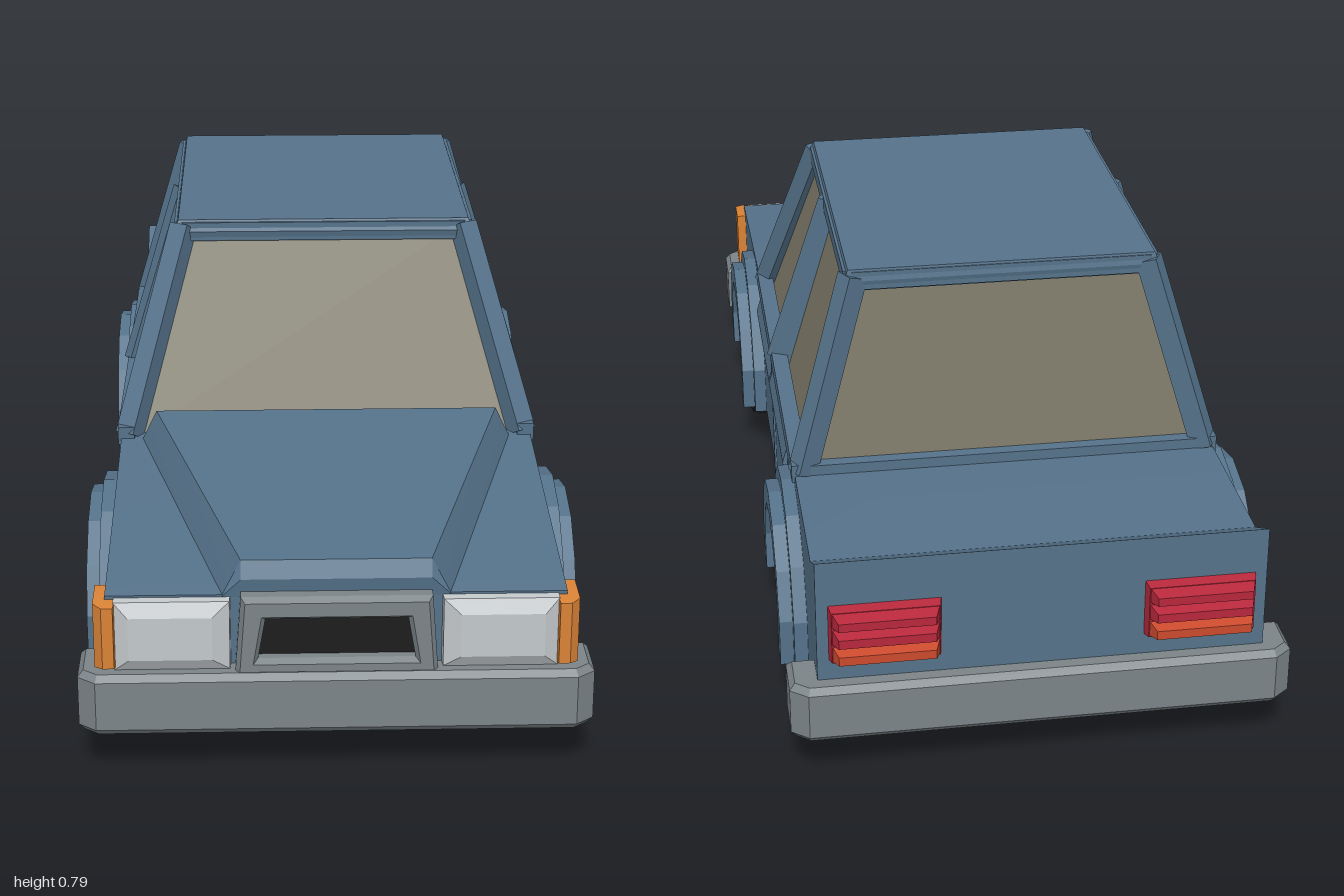
import * as THREE from 'three';
import { toCreasedNormals } from 'three/addons/utils/BufferGeometryUtils.js';
import { ConvexGeometry } from 'three/addons/geometries/ConvexGeometry.js';

const mat = (name, color) => Object.assign(new THREE.MeshStandardMaterial({ color }), { name });
const V = (x, y, z) => new THREE.Vector3(x, y, z);

export function createModel() {
  const car = new THREE.Group();
  car.name = 'car';
  const paint = mat('blue paint', 0x55728a);
  const glass = mat('smoky glass', 0x7d7968);
  const tyreMat = mat('tyre black', 0x262626);
  const dark = mat('underside black', 0x1d1d1d);
  const metal = mat('bumper grey', 0x7b8488);
  const hubMat = mat('hub grey', 0x85949a);
  const lampMat = mat('headlight silver', 0xc3c8cb);
  const amber = mat('amber', 0xd98236);
  const red = mat('tail red', 0xb8283c);
  const orange = mat('tail orange', 0xcc4a2e);

  const add = (name, geo, material, parent = car) => {
    const m = new THREE.Mesh(toCreasedNormals(geo, 0.3), material);
    m.name = name;
    parent.add(m);
    return m;
  };
  // Box given by its minimum and maximum on each axis
  const box = (name, material, x0, x1, y0, y1, z0, z1) => {
    const g = new THREE.BoxGeometry(x1 - x0, y1 - y0, z1 - z0);
    return add(name, g.translate((x0 + x1) / 2, (y0 + y1) / 2, (z0 + z1) / 2), material);
  };
  // Convex solid mirrored across x from its +x corners
  const solid = (name, material, pts) =>
    add(name, new ConvexGeometry(pts.flatMap(([x, y, z]) => [V(x, y, z), V(-x, y, z)])), material);
  // Square bar between two points
  const beam = (name, a, b, w, d = w, material = paint) => {
    const m = add(name, new THREE.BoxGeometry(w, d, a.distanceTo(b)), material);
    m.position.copy(a).lerp(b, 0.5);
    m.lookAt(b);
    return m;
  };
  // Side profile (z, y) extruded across x from x0 to x1
  const across = (shape, x0, x1) => new THREE.ExtrudeGeometry(shape, { depth: x1 - x0, bevelEnabled: false, curveSegments: 10 })
    .rotateY(-Math.PI / 2).translate(x1, 0, 0);

  const AX = 0.53, AY = 0.15;
  const arc = (r, z, from, to, n = 9) => Array.from({ length: n + 1 }, (_, i) => {
    const t = from + (to - from) * i / n;
    return new THREE.Vector2(z + r * Math.cos(t), AY + r * Math.sin(t));
  });
  const P = (z, y) => new THREE.Vector2(z, y);

  // Body shell with wheel cut-outs
  const dip = r => -Math.asin(0.05 / r);
  const cut = z => arc(0.18, z, Math.PI - dip(0.18), dip(0.18));
  add('body', across(new THREE.Shape([
    P(-0.75, 0.1), ...cut(-AX), ...cut(AX), P(0.95, 0.1), P(0.955, 0.34), P(0.37, 0.4),
    P(-0.87, 0.4), P(-0.955, 0.445), P(-0.955, 0.2), P(-0.86, 0.19),
  ]), -0.4, 0.4), paint);
  // Raised bonnet
  solid('bonnet', paint, [
    [0.165, 0.4, 0.945], [0.33, 0.457, 0.37], [0.36, 0.395, 0.37],
    [0.2, 0.335, 0.955], [0.165, 0.37, 0.96],
  ]);

  // Underside
  box('wheelWellCore', dark, -0.3, 0.3, 0.095, 0.335, -0.72, 0.72);
  box('floor', dark, -0.38, 0.38, 0.094, 0.12, -0.32, 0.32);
  box('frontFloor', dark, -0.38, 0.38, 0.094, 0.12, 0.73, 0.94);
  box('chassisUpper', dark, -0.23, 0.23, 0.07, 0.1, -0.73, 0.75);
  box('chassisLower', dark, -0.215, 0.215, 0.06, 0.08, -0.7, 0.72);

  // Wheel arches and wheels
  const tyreProfile = [[0, -0.062], [0.125, -0.062], [0.146, -0.05], [0.15, -0.03],
    [0.15, 0.03], [0.146, 0.05], [0.125, 0.062], [0.085, 0.062], [0.08, 0.052], [0, 0.052]];
  const hubProfile = [[0.08, 0.05], [0.08, 0.064], [0.068, 0.064], [0.062, 0.056], [0, 0.06]];
  const lathe = (pts, n) => new THREE.LatheGeometry(pts.map(p => new THREE.Vector2(...p)), n).rotateZ(-Math.PI / 2);
  for (const s of [1, -1]) for (const z of [AX, -AX]) {
    const label = (z > 0 ? 'front' : 'rear') + (s > 0 ? 'Left' : 'Right');
    const band = (ri, ro) => new THREE.Shape([
      ...arc(ro, z, dip(ro), Math.PI - dip(ro), 8), ...arc(ri, z, Math.PI - dip(ri), dip(ri), 8)]);
    const steps = [[0.16, 0.205, 0.45], [0.19, 0.23, 0.425]];
    for (const [ri, ro, x] of steps)
      add(label + 'Arch', across(band(ri, ro), s > 0 ? 0.36 : -x, s > 0 ? x : -0.36), paint);
    const wheel = new THREE.Group();
    wheel.name = label + 'Wheel';
    wheel.position.set(s * 0.372, AY, z);
    if (s < 0) wheel.rotation.y = Math.PI;
    add('tyre', lathe(tyreProfile, 12), tyreMat, wheel);
    add('hub', lathe(hubProfile, 12), hubMat, wheel);
    car.add(wheel);
  }

  // Cabin glass and roof
  solid('cabinGlass', glass, [
    [0.375, 0.39, 0.345], [0.375, 0.39, -0.54], [0.27, 0.77, 0.165], [0.27, 0.77, -0.485],
  ]);
  solid('roof', paint, [
    [0.287, 0.787, 0.18], [0.287, 0.787, -0.5], [0.295, 0.765, 0.19], [0.295, 0.765, -0.505],
    [0.26, 0.745, 0.185], [0.26, 0.745, -0.5],
  ]);
  for (const s of [1, -1]) {
    const c = (x, y, z) => V(s * x, y, z);
    beam('windscreenPillar', c(0.385, 0.4, 0.35), c(0.277, 0.772, 0.172), 0.04);
    beam('middlePillar', c(0.385, 0.41, -0.06), c(0.275, 0.77, -0.115), 0.03, 0.055);
    beam('rearPillar', c(0.385, 0.4, -0.545), c(0.277, 0.772, -0.49), 0.04);
    beam('roofRail', c(0.28, 0.765, 0.17), c(0.28, 0.765, -0.49), 0.03);
    beam('windowSill', c(0.39, 0.405, 0.37), c(0.39, 0.405, -0.56), 0.032, 0.035);
    // Door crease and seam
    const add2 = (name, pts) => add(name, new ConvexGeometry(pts.map(p => c(...p))), paint);
    for (const [z0, z1] of [[0.36, 0.005], [-0.005, -0.36]])
      add2('doorPanel', [z0, z1].flatMap(z => [[0.395, 0.375, z], [0.41, 0.325, z], [0.408, 0.305, z], [0.395, 0.295, z]]));
    add2('doorSeam', [0.006, -0.006].flatMap(z => [[0.395, 0.1, z], [0.404, 0.1, z], [0.395, 0.4, z], [0.404, 0.4, z]]));
  }
  beam('windscreenHeader', V(-0.28, 0.765, 0.172), V(0.28, 0.765, 0.172), 0.03, 0.035);
  beam('rearHeader', V(-0.28, 0.765, -0.488), V(0.28, 0.765, -0.488), 0.03, 0.035);
  beam('rearWindowSill', V(-0.385, 0.405, -0.545), V(0.385, 0.405, -0.545), 0.03, 0.03);

  // Wrap-around bumpers
  const bumper = (name, front, y0, y1) => {
    const e = 0.44, i = 0.4, back = 0.89;
    const plan = new THREE.Shape([P(-e, back), P(-i, back), P(-i, 0.945), P(i, 0.945), P(i, back), P(e, back),
      P(e, front - 0.03), P(e - 0.025, front - 0.01), P(0.025 - e, front - 0.01), P(-e, front - 0.03)]);
    const g = new THREE.ExtrudeGeometry(plan, {
      depth: y1 - y0 - 0.024, bevelThickness: 0.012, bevelSize: 0.01, bevelSegments: 1,
    });
    return add(name, g.rotateX(Math.PI / 2).translate(0, y1 - 0.012, 0), metal);
  };
  bumper('frontBumper', 1, 0.092, 0.207);
  bumper('rearBumper', 0.988, 0.1, 0.21).rotation.y = Math.PI;

  // Grille surround with a dark recess
  const trapezoid = (top, bottom, y0, y1) => [P(-bottom, y0), P(bottom, y0), P(top, y1), P(-top, y1)];
  const surround = new THREE.Shape(trapezoid(0.158, 0.168, 0.208, 0.338));
  surround.holes.push(new THREE.Path(trapezoid(0.13, 0.145, 0.222, 0.312).reverse()));
  add('grilleSurround', new THREE.ExtrudeGeometry(surround, {
    depth: 0.03, bevelThickness: 0.012, bevelSize: 0.008, bevelSegments: 1,
  }).translate(0, 0, 0.948), metal);
  add('grille', new THREE.ShapeGeometry(new THREE.Shape(trapezoid(0.14, 0.155, 0.212, 0.32))).translate(0, 0, 0.962), dark);

  // Lamps
  const frame = (x0, x1, y0, y1, z) => [[x0, y0, z], [x1, y0, z], [x1, y1, z], [x0, y1, z]];
  for (const s of [1, -1]) {
    const lens = (name, material, ...rings) =>
      add(name, new ConvexGeometry(rings.flat().map(([x, y, z]) => V(s * x, y, z))), material);
    lens('headlight', lampMat, frame(0.183, 0.385, 0.205, 0.337, 0.94),
      frame(0.185, 0.385, 0.207, 0.335, 0.972), frame(0.215, 0.36, 0.23, 0.31, 0.985));
    lens('indicator', amber, frame(0.383, 0.42, 0.21, 0.335, 0.9),
      frame(0.383, 0.42, 0.212, 0.333, 0.97), frame(0.385, 0.405, 0.215, 0.33, 0.985));
    lens('tailLampBase', red, frame(0.18, 0.38, 0.25, 0.36, -0.95), frame(0.185, 0.375, 0.255, 0.355, -0.975));
    const ribs = [[0.325, 0.355, red], [0.291, 0.322, red], [0.257, 0.288, orange]];
    for (const [y0, y1, material] of ribs)
      lens('tailLampRib', material, frame(0.185, 0.375, y0, y1, -0.97), frame(0.195, 0.365, y0 + 0.007, y1 - 0.007, -1));
  }
  return car;
}
